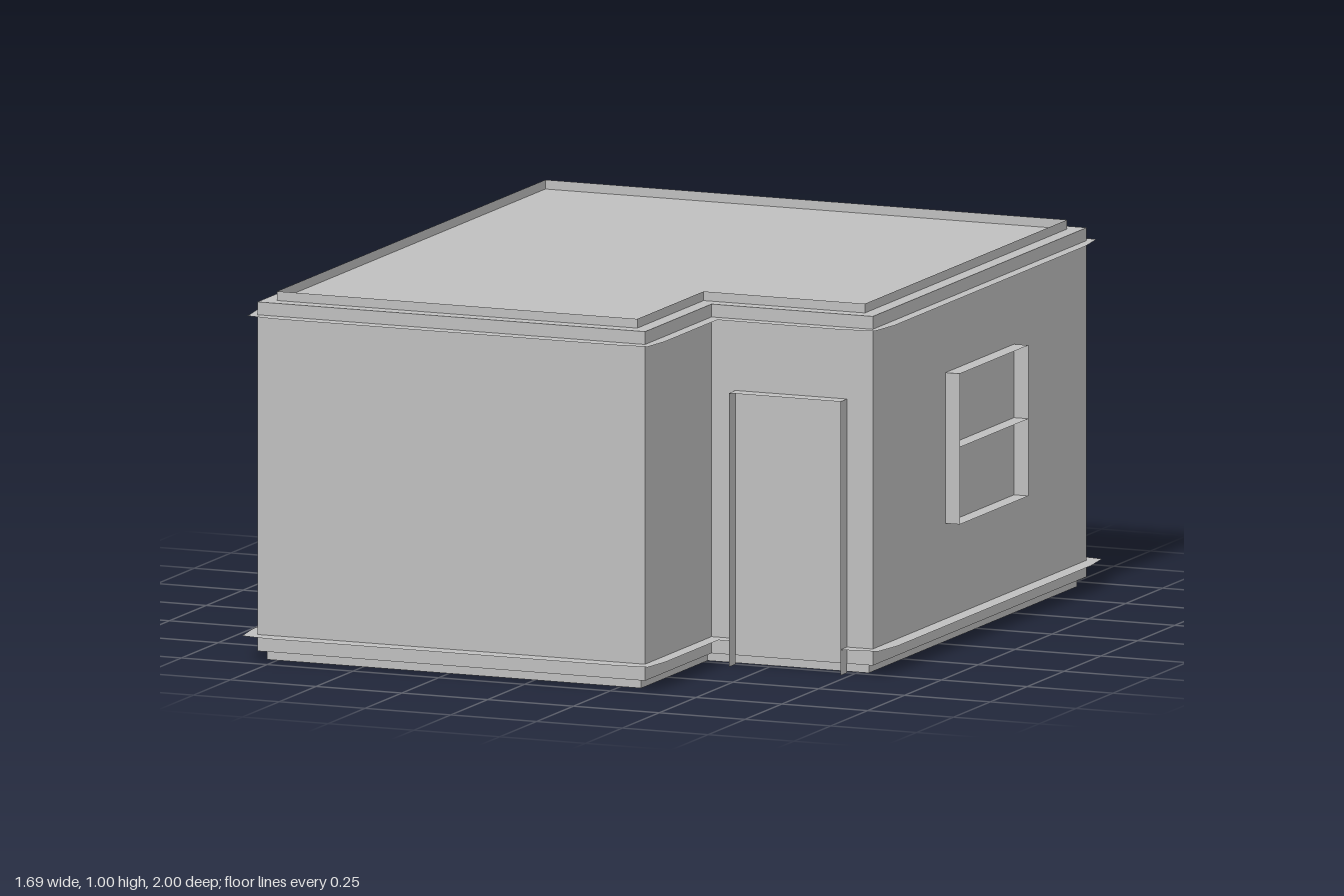
import * as THREE from 'three';

const gray = new THREE.MeshStandardMaterial({ color: 0xbfbfbf, side: THREE.DoubleSide });
gray.name = 'plaster gray';

// L-shaped footprint as [x, -z], moved inwards by a margin
const footprint = (m) => [
  [-0.8 + m, -0.95 + m], [0.33 - m, -0.95 + m], [0.33 - m, -0.5 + m],
  [0.8 - m, -0.5 + m], [0.8 - m, 0.95 - m], [-0.8 + m, 0.95 - m],
];

const shapeOf = (pts) => new THREE.Shape(pts.map(([x, y]) => new THREE.Vector2(x, y)));

// Thin wall that follows a 2D path and is raised along z
function ribbon(pts, depth, closed) {
  const pos = [];
  const count = closed ? pts.length : pts.length - 1;
  for (let i = 0; i < count; i++) {
    const [ax, ay] = pts[i];
    const [bx, by] = pts[(i + 1) % pts.length];
    pos.push(ax, ay, 0, bx, by, 0, bx, by, depth, ax, ay, 0, bx, by, depth, ax, ay, depth);
  }
  const g = new THREE.BufferGeometry();
  g.setAttribute('position', new THREE.Float32BufferAttribute(pos, 3));
  g.computeVertexNormals();
  return g;
}

function add(parent, name, geometry) {
  const mesh = new THREE.Mesh(geometry, gray);
  mesh.name = name;
  parent.add(mesh);
  return mesh;
}

// Fins around an opening with a cross bar, lying in the xy plane
function windowFrame(name, width, y0, y1, mid, depth) {
  const group = new THREE.Group();
  group.name = name;
  const w = width / 2;
  add(group, 'frame', ribbon([[-w, y0], [w, y0], [w, y1], [-w, y1]], depth, true));
  add(group, 'crossBar', ribbon([[-w, mid], [w, mid]], depth, false));
  return group;
}

export function createModel() {
  const house = new THREE.Group();
  house.name = 'house';
  const lay = (g, y) => g.rotateX(-Math.PI / 2).translate(0, y, 0);

  // Walls with flat roof and floor
  add(house, 'walls', lay(new THREE.ExtrudeGeometry(shapeOf(footprint(0)),
    { depth: 0.95, bevelEnabled: false }), 0.025));

  // Thin upstands on the roof and under the floor
  add(house, 'parapet', lay(ribbon(footprint(0.04), 0.025, true), 0.975));
  add(house, 'plinth', lay(ribbon(footprint(0.02), 0.025, true), 0));

  // Flat ledges with slightly drawn-in corners; the lower one stops at the door
  const ledge = (doorGap) => [
    [-0.83, -0.985], [-0.75, -1], [0.27, -1], [0.355, -0.99], [0.367, -0.9], [0.367, -0.54],
    ...(doorGap ? [[0.4, -0.545], [0.4, -0.5], [0.725, -0.5], [0.725, -0.545]] : []),
    [0.73, -0.545], [0.828, -0.53], [0.843, -0.43], [0.843, 0.88],
    [0.83, 0.985], [0.75, 1], [-0.75, 1], [-0.83, 0.985], [-0.845, 0.88], [-0.845, -0.88],
  ];
  add(house, 'baseLedge', lay(new THREE.ShapeGeometry(shapeOf(ledge(true))), 0.07));
  const cornice = add(house, 'cornice', lay(new THREE.ShapeGeometry(shapeOf(ledge(false))), 0.94));
  cornice.scale.set(0.985, 1, 0.99);

  // Door surround in the recessed corner
  const door = add(house, 'doorFrame',
    ribbon([[0.4, 0], [0.4, 0.745], [0.725, 0.745], [0.725, 0]], 0.045, false));
  door.position.z = 0.5;

  // Windows on the right and back walls
  const side = windowFrame('sideWindow', 0.465, 0.33, 0.74, 0.54, 0.042);
  side.rotation.y = Math.PI / 2;
  side.position.set(0.8, 0, -0.225);
  const back = windowFrame('backWindow', 0.5, 0.33, 0.74, 0.54, 0.042);
  back.rotation.y = Math.PI;
  back.position.set(-0.05, 0, -0.95);
  house.add(side, back);

  return house;
}
